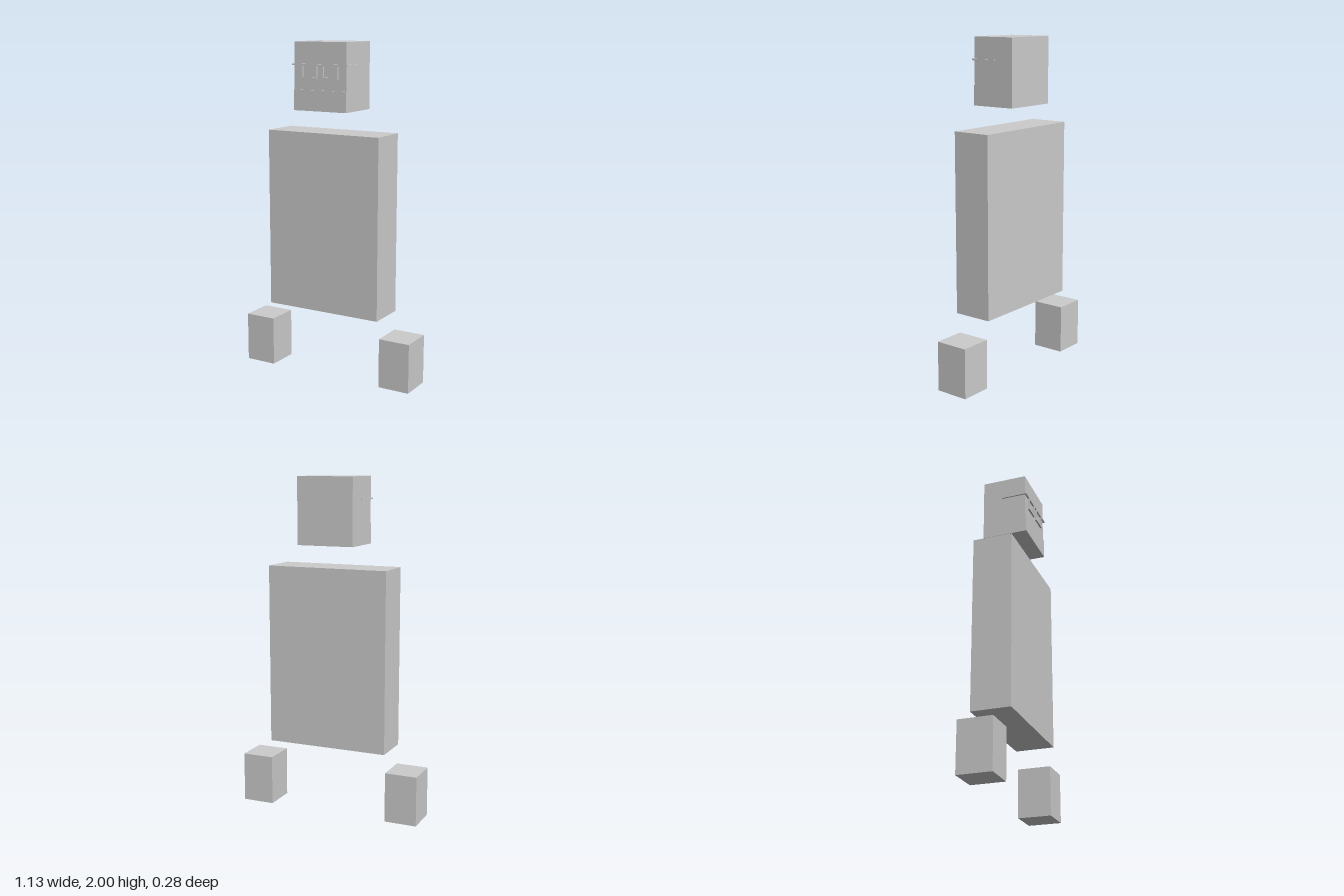
import * as THREE from 'three';

const material = new THREE.MeshStandardMaterial({ color: 0xcccccc, flatShading: true });

// Box given by its extents along each axis
function block(name, [x0, x1], [y0, y1], [z0, z1]) {
  const mesh = new THREE.Mesh(new THREE.BoxGeometry(x1 - x0, y1 - y0, z1 - z0), material);
  mesh.position.set((x0 + x1) / 2, (y0 + y1) / 2, (z0 + z1) / 2);
  mesh.name = name;
  return mesh;
}

// Square lens rim: a rectangle with a rectangular hole
function lensRim(name, [x0, x1], [y0, y1], [z0, z1], t) {
  const rect = (path, a, b, c, d) =>
    path.moveTo(a, c).lineTo(b, c).lineTo(b, d).lineTo(a, d).closePath();
  const shape = new THREE.Shape();
  const hole = new THREE.Path();
  rect(shape, x0, x1, y0, y1);
  rect(hole, x0 + t, x1 - t, y0 + t, y1 - t);
  shape.holes.push(hole);
  const mesh = new THREE.Mesh(
    new THREE.ExtrudeGeometry(shape, { depth: z1 - z0, bevelEnabled: false }), material);
  mesh.position.z = z0;
  mesh.name = name;
  return mesh;
}

export function createModel() {
  const model = new THREE.Group();
  model.name = 'blockFigure';

  // Torso and the two separate feet
  model.add(
    block('torso', [-0.37, 0.367], [0.41, 1.48], [-0.124, 0.113]),
    block('rightFoot', [-0.567, -0.373], [0, 0.297], [-0.114, 0.088]),
    block('leftFoot', [0.37, 0.564], [0, 0.297], [-0.114, 0.088]),
  );

  // Head with a slightly raised lower face
  const head = new THREE.Group();
  head.name = 'head';
  head.add(
    block('skull', [-0.174, 0.17], [1.608, 2], [-0.141, 0.129]),
    block('lowerFace', [-0.174, 0.17], [1.608, 1.727], [0.12, 0.136]),
  );
  model.add(head);

  // Glasses: brow bar, side arms and square rims
  const glasses = new THREE.Group();
  glasses.name = 'glasses';
  const bar = [1.866, 1.875];
  const depth = [0.129, 0.14];
  glasses.add(
    block('browBar', [-0.183, 0.179], bar, depth),
    block('rightArm', [-0.183, -0.173], bar, [-0.019, 0.129]),
    block('leftArm', [0.169, 0.179], bar, [-0.019, 0.129]),
    lensRim('rightRim', [-0.122, -0.02], [1.791, 1.874], depth, 0.01),
    lensRim('leftRim', [0.015, 0.117], [1.791, 1.874], depth, 0.01),
  );
  model.add(glasses);

  return model;
}
